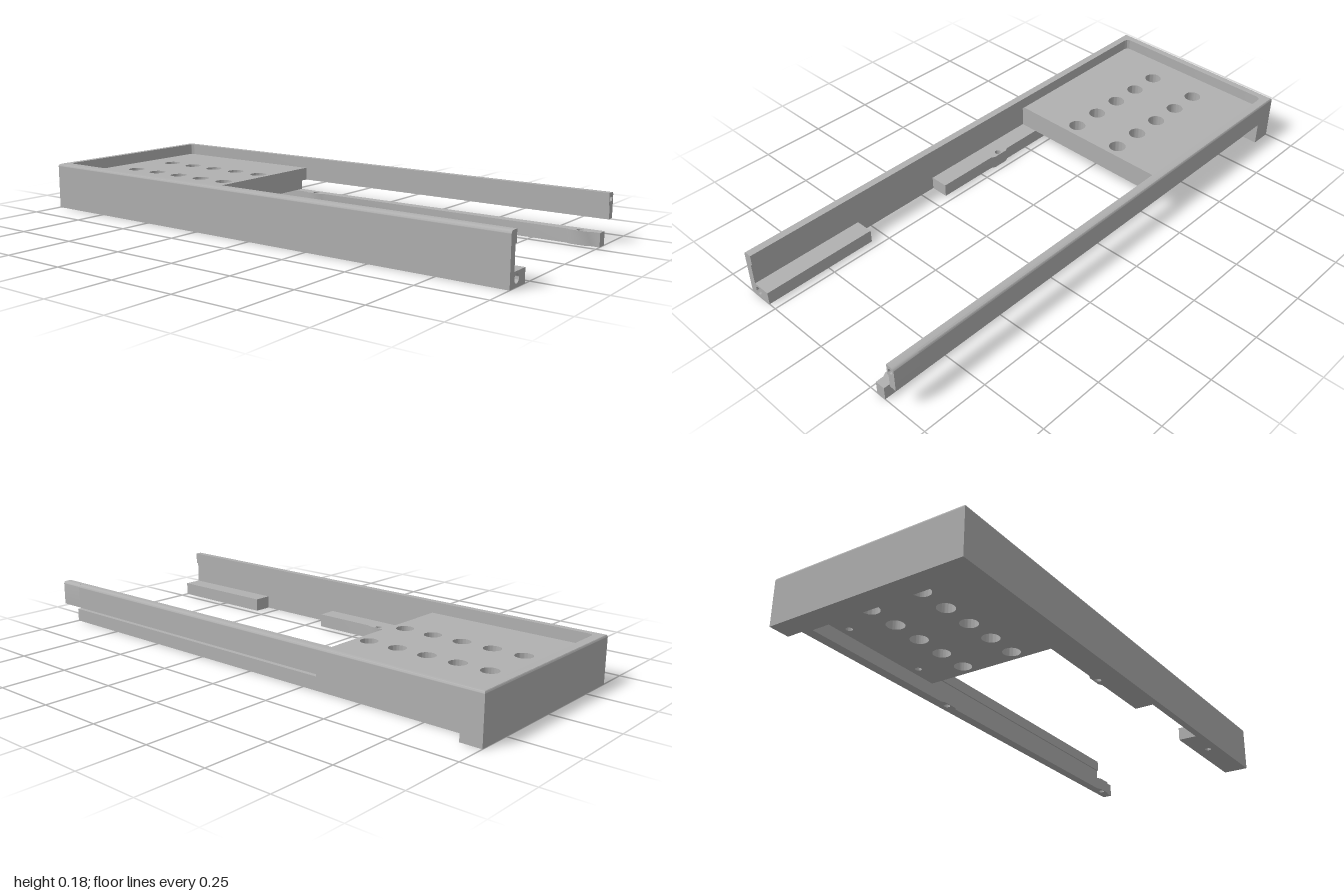
import * as THREE from 'three';
import { toCreasedNormals } from 'three/addons/utils/BufferGeometryUtils.js';

const X0 = -1, X1 = 1, Z = 0.38;          // outer footprint
const PLATE = -0.31;                      // free edge of the plate
const Y = { frame: 0.05, notch: 0.085, floor: 0.135, edge: 0.168, top: 0.178 };
const CAP = 0.9;                          // drilled rail ends start here

function polygon(points, holes = []) {
  const shape = new THREE.Shape(points.map(([a, b]) => new THREE.Vector2(a, b)));
  addHoles(shape, holes);
  return shape;
}

function addHoles(shape, holes) {
  for (const [a, b, r] of holes) {
    shape.holes.push(new THREE.Path().absarc(a, b, r, 0, Math.PI * 2, true));
  }
}

const rect = (a0, a1, b0, b1, holes) => polygon([[a0, b0], [a1, b0], [a1, b1], [a0, b1]], holes);

// Plan shape (x, z) raised from y0 to y1
function slab(shape, y0, y1, steps = 1) {
  const g = new THREE.ExtrudeGeometry(shape, { depth: y1 - y0, steps, bevelEnabled: false, curveSegments: 32 });
  return g.rotateX(Math.PI / 2).translate(0, y1, 0);
}

// Section shape (-z, y) run from x0 to x1
function run(shape, x0, x1) {
  const g = new THREE.ExtrudeGeometry(shape, { depth: x1 - x0, bevelEnabled: false, curveSegments: 24 });
  return g.rotateY(Math.PI / 2).translate(x0, 0, 0);
}

// Small screw tab: points along an inner rail edge, facing the middle
function tab(x, side) {
  const s = [[-0.045, 0.282], [-0.03, 0.274], [0.03, 0.274], [0.045, 0.282]];
  return s.map(([dx, z]) => [x + dx, side * z]);
}

export function createModel() {
  const model = new THREE.Group();
  const grey = new THREE.MeshStandardMaterial({ color: 0xb0b0b0 });
  grey.name = 'plain grey';
  const add = (name, geometry) => {
    const mesh = new THREE.Mesh(toCreasedNormals(geometry, 0.6), grey);
    mesh.name = name;
    model.add(mesh);
  };

  // Perforated plate, the lower layer notched at the back and drilled from below
  const vents = [];
  for (let i = 0; i < 5; i++) {
    for (const z of [-0.103, 0.103]) vents.push([-0.845 + i * 0.1208, z, 0.032]);
  }
  const pilots = [];
  for (const x of [-0.784, -0.43]) for (const z of [-0.248, 0.248]) pilots.push([x, z, 0.012]);
  add('plateLower', slab(polygon([
    [X0, -Z], [-0.92, -Z], [-0.92, -0.32], [PLATE, -0.32], [PLATE, Z], [X0, Z],
  ], [...vents, ...pilots]), Y.frame, Y.notch));
  add('plateUpper', slab(rect(X0, PLATE, -Z, Z, vents), Y.notch, Y.floor));

  // Bottom frame: end wall, long back rail and front ledge with screw tabs
  add('bottomFrame', slab(polygon([
    [X0, -Z], [-0.92, -Z], [-0.92, -0.32], [X1, -0.32], [X1, -0.282],
    ...tab(0.925, -1).reverse(), ...tab(-0.21, -1).reverse(),
    [-0.91, -0.282], [-0.91, 0.282],
    ...tab(-0.1, 1),
    [0.19, 0.282], [0.19, 0.353], [0.555, 0.353], [0.555, Z], [X0, Z],
  ], [[0.925, -0.289, 0.012], [-0.21, -0.289, 0.012], [-0.1, 0.289, 0.012]]), 0, Y.frame));

  // Second front ledge, drilled from below and at its end
  add('ledgeLower', slab(rect(0.555, CAP, 0.282, Z, [[0.71, 0.335, 0.012]]), 0, 0.027));
  add('ledgeUpper', slab(rect(0.555, CAP, 0.282, Z), 0.027, Y.frame));
  add('ledgeEnd', run(rect(-Z, -0.282, 0, Y.frame, [[-0.337, 0.027, 0.015]]), CAP, X1));

  // Thinner side walls forming the grooves
  add('frontWall', slab(rect(PLATE, X1, 0.353, Z), Y.frame, Y.floor));
  add('backWall', slab(rect(PLATE, CAP, -Z, -0.353), Y.notch, Y.floor));

  // Rim around the pocket, continuing as the tops of both side rails
  const rim = new THREE.Shape();
  const r = 0.02;
  rim.moveTo(X0, -Z);
  rim.lineTo(CAP, -Z);
  rim.lineTo(CAP, -0.347);
  rim.lineTo(-0.967 + r, -0.347);
  rim.absarc(-0.967 + r, -0.347 + r, r, -Math.PI / 2, -Math.PI, true);
  rim.lineTo(-0.967, 0.345 - r);
  rim.absarc(-0.967 + r, 0.345 - r, r, Math.PI, Math.PI / 2, true);
  rim.lineTo(X1, 0.345);
  rim.lineTo(X1, Z);
  rim.lineTo(X0, Z);
  rim.closePath();
  add('rim', slab(rim, Y.floor, Y.edge));

  // Rounded outer edge on top of the rim
  const edge = slab(rim, Y.edge, Y.top, 5);
  const p = edge.attributes.position;
  for (let i = 0; i < p.count; i++) {
    const t = Math.min(1, Math.max(0, (p.getY(i) - Y.edge) / 0.01));
    const inset = 0.01 * (1 - Math.sqrt(1 - t * t));
    if (Math.abs(p.getZ(i)) > Z - 1e-4) p.setZ(i, Math.sign(p.getZ(i)) * (Z - inset));
    if (p.getX(i) < X0 + 1e-4) p.setX(i, X0 + inset);
  }
  edge.computeVertexNormals();
  add('rimEdge', edge);

  // Drilled end of the back rail
  const end = new THREE.Shape();
  end.moveTo(0.353, Y.notch);
  end.lineTo(Z, Y.notch);
  end.lineTo(Z, Y.edge);
  end.absarc(Z - 0.01, Y.edge, 0.01, 0, Math.PI / 2, false);
  end.lineTo(0.347, Y.top);
  end.lineTo(0.347, Y.floor);
  end.lineTo(0.353, Y.floor);
  end.closePath();
  addHoles(end, [[0.363, 0.157, 0.01]]);
  add('backRailEnd', run(end, CAP, X1));

  return model;
}
